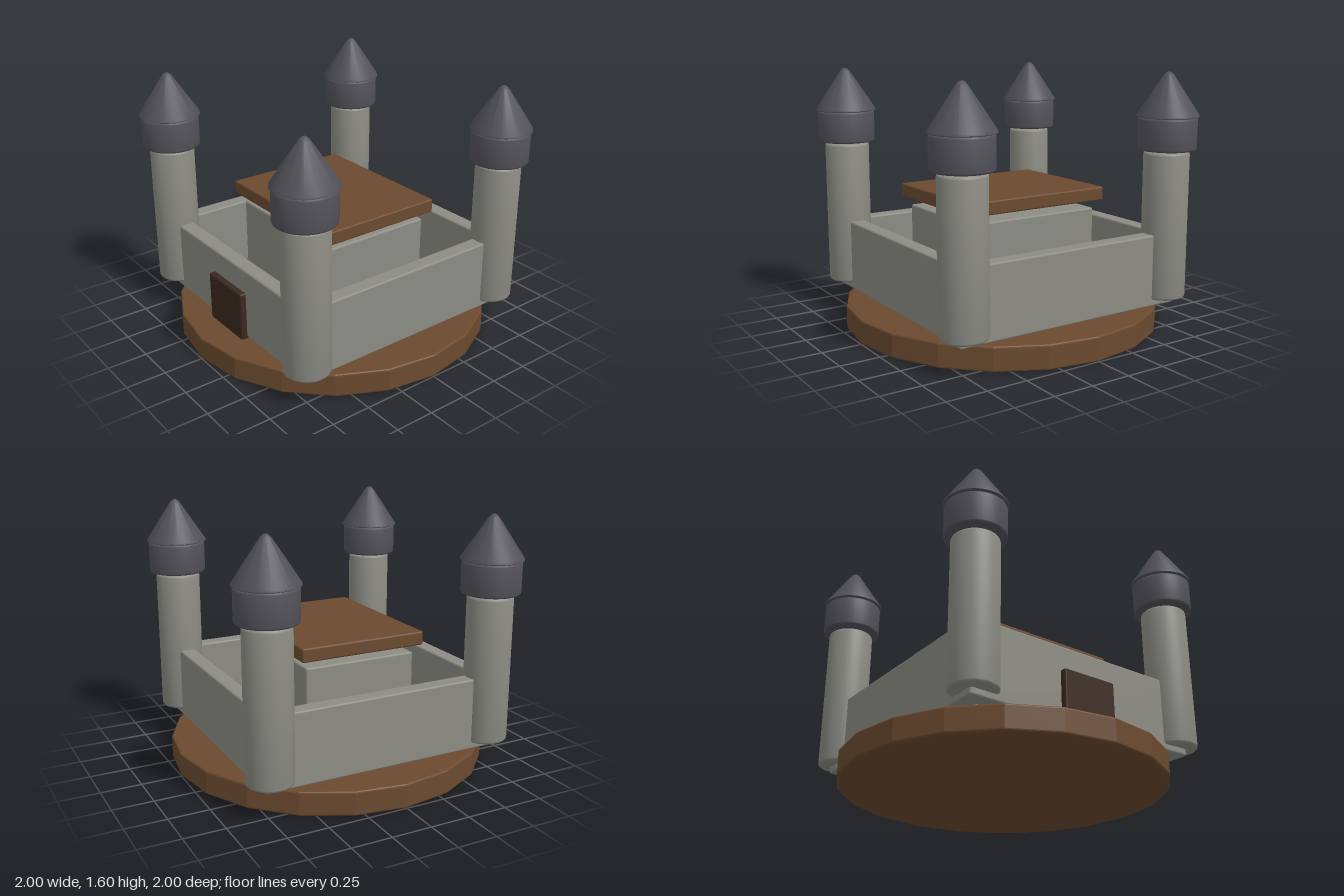
import * as THREE from 'three';
import { toCreasedNormals } from 'three/addons/utils/BufferGeometryUtils.js';
import { RoundedBoxGeometry } from 'three/addons/geometries/RoundedBoxGeometry.js';

function material(name, color) {
  const m = new THREE.MeshStandardMaterial({ color });
  m.name = name;
  return m;
}

// Closed turned shape from [radius, y] points, bottom to top
function turned(points, sides, crease) {
  const profile = points.map(([r, y]) => new THREE.Vector2(r, y));
  return toCreasedNormals(new THREE.LatheGeometry(profile, sides), crease);
}

// Upright drum with rounded rims
function drum(radius, y0, y1, bevel, sides, crease) {
  const pts = [[0, y0]];
  for (let i = 0; i <= 3; i++) {
    const a = (i / 3) * Math.PI / 2;
    pts.push([radius - bevel + bevel * Math.sin(a), y0 + bevel - bevel * Math.cos(a)]);
  }
  for (let i = 0; i <= 3; i++) {
    const a = (i / 3) * Math.PI / 2;
    pts.push([radius - bevel + bevel * Math.cos(a), y1 - bevel + bevel * Math.sin(a)]);
  }
  pts.push([0, y1]);
  return turned(pts, sides, crease);
}

export function createModel() {
  const castle = new THREE.Group();
  castle.name = 'castle';

  const stone = material('stone', 0x8c8c84);
  const wood = material('brown wood', 0x6b4a2f);
  const slate = material('dark slate', 0x53525a);
  const darkWood = material('dark door wood', 0x3b291f);

  function add(parent, name, geometry, mat) {
    const mesh = new THREE.Mesh(geometry, mat);
    mesh.name = name;
    parent.add(mesh);
    return mesh;
  }

  // Box given by its size, vertical extent and centre
  function block(name, w, d, y0, y1, x, z, mat, bevel = 0.012) {
    const geometry = new RoundedBoxGeometry(w, y1 - y0, d, 2, bevel);
    add(castle, name, geometry, mat).position.set(x, (y0 + y1) / 2, z);
  }

  // Twenty-sided ground disc
  add(castle, 'base', drum(1, 0, 0.15, 0.012, 20, 0.2), wood);

  // Curtain walls
  for (const s of [1, -1]) {
    block(s > 0 ? 'frontWall' : 'backWall', 1.56, 0.1, 0.16, 0.61, 0, s * 0.727, stone);
    block(s > 0 ? 'leftWall' : 'rightWall', 0.1, 1.56, 0.16, 0.61, s * 0.727, 0, stone);
  }

  // Gate, keep and its floating roof slab
  block('gate', 0.36, 0.13, 0.145, 0.46, 0, 0.75, darkWood);
  block('keep', 0.91, 0.73, 0.16, 0.73, 0, 0, stone);
  block('keepRoof', 1, 0.82, 0.78, 0.867, 0, 0, wood);

  // Corner towers
  const shaft = drum(0.14, 0.2, 1.112, 0.016, 48, 0.6);
  const collar = drum(0.18, 1.122, 1.322, 0.014, 48, 0.6);
  const spire = turned([
    [0, 1.322], [0.182, 1.322], [0.19, 1.326], [0.188, 1.336],
    [0.032, 1.573], [0.022, 1.584], [0.011, 1.592], [0, 1.595],
  ], 48, 0.5);
  for (const sx of [1, -1]) {
    for (const sz of [1, -1]) {
      const tower = new THREE.Group();
      tower.name = (sz > 0 ? 'front' : 'back') + (sx > 0 ? 'Left' : 'Right') + 'Tower';
      add(tower, 'shaft', shaft, stone);
      add(tower, 'collar', collar, slate);
      add(tower, 'spire', spire, slate);
      tower.position.set(sx * 0.727, 0, sz * 0.727);
      castle.add(tower);
    }
  }

  return castle;
}
